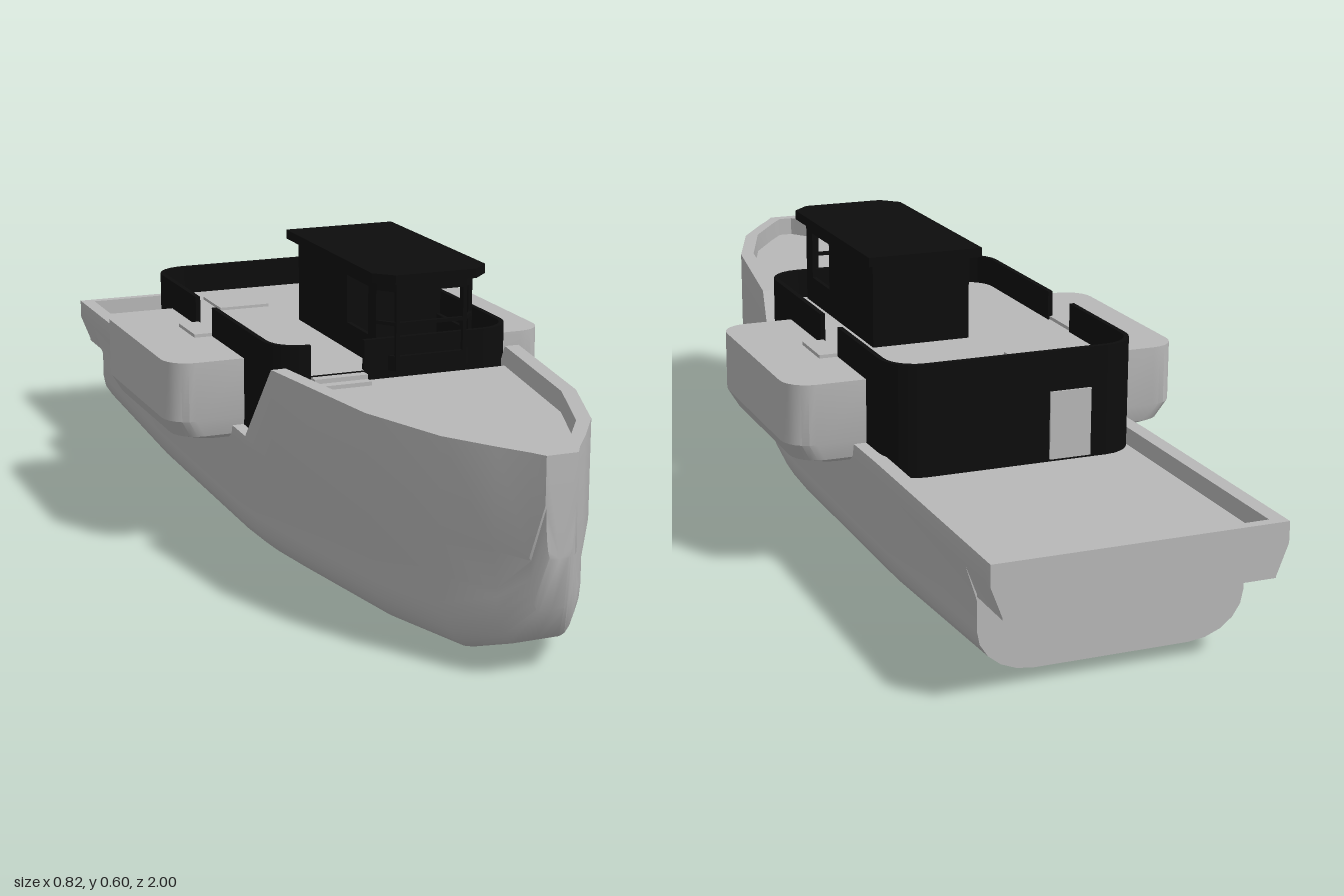
import * as THREE from 'three';
import { toCreasedNormals } from 'three/addons/utils/BufferGeometryUtils.js';

const grey = new THREE.MeshStandardMaterial({ color: 0xb8b8b8 });
grey.name = 'light grey';
const black = new THREE.MeshStandardMaterial({ color: 0x0d0d0d });
black.name = 'black';

// Skin a list of closed rings and cap both ends.
function loft(rings, crease = 0.6) {
  const n = rings[0].length;
  const index = [];
  for (let i = 0; i < rings.length - 1; i++) {
    for (let j = 0; j < n; j++) {
      const k = (j + 1) % n;
      const a = i * n + j, b = i * n + k, c = b + n, d = a + n;
      index.push(a, b, c, a, c, d);
    }
  }
  const last = (rings.length - 1) * n;
  for (let j = 1; j < n - 1; j++) {
    index.push(0, j + 1, j, last, last + j, last + j + 1);
  }
  const geo = new THREE.BufferGeometry();
  geo.setAttribute('position', new THREE.Float32BufferAttribute(rings.flat(2), 3));
  geo.setIndex(index);
  return toCreasedNormals(geo, crease);
}

// Points on an arc in plan, as [x, z], angles in degrees.
function arc(cx, cz, r, from, to, steps = 6) {
  return Array.from({ length: steps + 1 }, (_, i) => {
    const a = THREE.MathUtils.degToRad(from + ((to - from) * i) / steps);
    return [cx + r * Math.cos(a), cz + r * Math.sin(a)];
  });
}

// Extrude a plan outline between two heights.
function slab(points, bottom, top) {
  const shape = new THREE.Shape(points.map(([x, z]) => new THREE.Vector2(x, z)));
  const geo = new THREE.ExtrudeGeometry(shape, { depth: top - bottom, bevelEnabled: false });
  return geo.rotateX(Math.PI / 2).translate(0, top, 0);
}

// One hull cross-section: bilge curve, knuckle, bulwark rim and sunken deck.
function hullRing([z, w, keel, bilge, top, deck]) {
  const low = w * 0.92, flat = low * 0.58, inner = Math.max(w - 0.03, 0.008);
  const half = [[0, keel]];
  for (let i = 0; i <= 5; i++) {
    const a = (i / 5) * Math.PI / 2;
    half.push([flat + (low - flat) * Math.sin(a), keel + bilge * (1 - Math.cos(a))]);
  }
  const y2 = Math.max(0.17, keel + bilge + 0.004);
  half.push([low, y2], [w, Math.max(0.24, y2 + 0.004)], [w, top], [inner, top], [inner, deck], [0, deck]);
  const mirrored = half.slice(1, -1).reverse().map(([x, y]) => [-x, y]);
  return [...half, ...mirrored].map(([x, y]) => [x, y, z]);
}

export function createModel() {
  const model = new THREE.Group();
  model.name = 'boat';
  const add = (name, geo, material, parent = model) => {
    const mesh = new THREE.Mesh(geo, material);
    mesh.name = name;
    parent.add(mesh);
    return mesh;
  };
  // Box given by its limits on each axis.
  const box = (name, x0, x1, y0, y1, z0, z1, material, parent) =>
    add(name, new THREE.BoxGeometry(x1 - x0, y1 - y0, z1 - z0)
      .translate((x0 + x1) / 2, (y0 + y1) / 2, (z0 + z1) / 2), material, parent);

  // Hull stations: z, half width, keel, bilge height, rim height, deck height
  const stations = [
    [-1, 0.28, 0.178, 0, 0.28, 0.28],
    [-0.98, 0.28, 0.178, 0, 0.28, 0.28],
    [-0.98, 0.28, 0.178, 0, 0.28, 0.245],
    [-0.89, 0.28, 0.178, 0, 0.28, 0.245],
    [-0.89, 0.28, 0.03, 0.085, 0.28, 0.245],
    [-0.45, 0.28, 0.003, 0.09, 0.28, 0.245],
    [0.1, 0.28, 0, 0.09, 0.27, 0.245],
    [0.2, 0.277, 0.002, 0.09, 0.265, 0.245],
    [0.31, 0.262, 0.006, 0.09, 0.425, 0.385],
    [0.65, 0.21, 0.02, 0.09, 0.425, 0.385],
    [0.83, 0.145, 0.03, 0.09, 0.425, 0.385],
    [0.92, 0.085, 0.065, 0.09, 0.425, 0.385],
    [0.975, 0.045, 0.14, 0.09, 0.425, 0.385],
    [0.975, 0.045, 0.14, 0.09, 0.425, 0.425],
    [1, 0.03, 0.24, 0.09, 0.425, 0.425],
  ];
  add('hull', loft(stations.map(hullRing)), grey);

  // Deckhouse with a grey roof deck and black walls
  const house = new THREE.Group();
  house.name = 'deckhouse';
  model.add(house);
  const outline = [
    ...arc(0.185, 0.24, 0.07, 90, 0), ...arc(0.185, -0.4, 0.07, 0, -90),
    ...arc(-0.185, -0.4, 0.07, -90, -180), ...arc(-0.185, 0.24, 0.07, 180, 90),
  ];
  add('deckhouseBody', slab(outline, 0.235, 0.405), [grey, black], house);
  box('aftDoor', -0.15, -0.065, 0.25, 0.385, -0.474, -0.468, grey, house);
  box('roofHatch', -0.165, -0.055, 0.404, 0.411, -0.385, -0.27, grey, house);

  // Roof bulwark in three runs, leaving boarding gaps at the sides and front
  const runs = [
    (i) => [[-0.07, 0.31 - i], ...arc(0.185, 0.24, 0.07 - i, 90, 0), [0.255 - i, -0.06]],
    (i) => [[0.255 - i, -0.165], ...arc(0.185, -0.4, 0.07 - i, 0, -90),
      ...arc(-0.185, -0.4, 0.07 - i, -90, -180), [-0.255 + i, -0.165]],
    (i) => [[-0.255 + i, -0.06], ...arc(-0.185, 0.24, 0.07 - i, 180, 90), [-0.18, 0.31 - i]],
  ];
  for (const run of runs) {
    add('roofBulwark', slab([...run(0), ...run(0.01).reverse()], 0.4, 0.465), black, house);
  }
  box('frontStepUpper', -0.18, -0.07, 0.38, 0.402, 0.3, 0.33, grey, house);
  box('frontStepLower', -0.18, -0.07, 0.38, 0.393, 0.33, 0.35, grey, house);

  // Side pods with rounded corners and a turned-in lower edge
  const podRing = ([y, i]) => [
    [0.24, 0.2325 - i / 2],
    ...arc(0.355 - i, 0.1775 - i / 2, 0.055, 90, 0),
    ...arc(0.355 - i, -0.1775 + i / 2, 0.055, 0, -90),
    [0.24, -0.2325 + i / 2],
  ].map(([x, z]) => [x, y, z]);
  const podGeo = loft([[0.24, 0.05], [0.25, 0.02], [0.285, 0], [0.405, 0]].map(podRing), 0.5);
  for (const side of [1, -1]) {
    const pod = add(side > 0 ? 'leftPod' : 'rightPod', podGeo, grey);
    pod.position.z = -0.0975;
    pod.rotation.y = side > 0 ? 0 : Math.PI;
    const step = box('boardingStep', -0.022, 0.022, 0.4, 0.412, -0.0525, 0.0525, grey);
    step.position.set(side * 0.271, 0, -0.1125);
  }

  // Wheelhouse: closed aft part, open glazed front under a flat roof
  const cabin = new THREE.Group();
  cabin.name = 'wheelhouse';
  model.add(cabin);
  box('cabinBody', -0.037, 0.168, 0.4, 0.578, -0.13, 0.14, black, cabin);
  const roof = [[-0.055, -0.155], [0.185, -0.155], [0.185, 0.31], [0.15, 0.345], [-0.02, 0.345], [-0.055, 0.31]];
  add('cabinRoof', slab(roof, 0.577, 0.596), black, cabin);

  // Bands following the glazed front: sill, middle rail and head
  const band = (i) => [[-0.037 + i, 0.13], [-0.037 + i, 0.29], [-0.008 + i / 2, 0.325 - i],
    [0.139 - i / 2, 0.325 - i], [0.168 - i, 0.29], [0.168 - i, 0.13]];
  const bandPlan = [...band(0), ...band(0.008).reverse()];
  add('windowSill', slab(bandPlan, 0.4, 0.43), black, cabin);
  add('windowHead', slab(bandPlan, 0.557, 0.578), black, cabin);
  const front = (i) => band(i).slice(1, -1);
  add('windowRail', slab([...front(0), ...front(0.008).reverse()], 0.49, 0.497), black, cabin);
  for (const side of [1, -1]) {
    const x = 0.0655 + side * 0.0985;
    box('cabinSidePanel', x - 0.004, x + 0.004, 0.4, 0.578, 0.25, 0.29, black, cabin);
    box('cabinSideSill', x - 0.004, x + 0.004, 0.4, 0.46, 0.13, 0.26, black, cabin);
    const px = 0.0655 + side * 0.071;
    box('cabinFrontPost', px - 0.004, px + 0.004, 0.4, 0.578, 0.316, 0.325, black, cabin);
  }
  return model;
}
